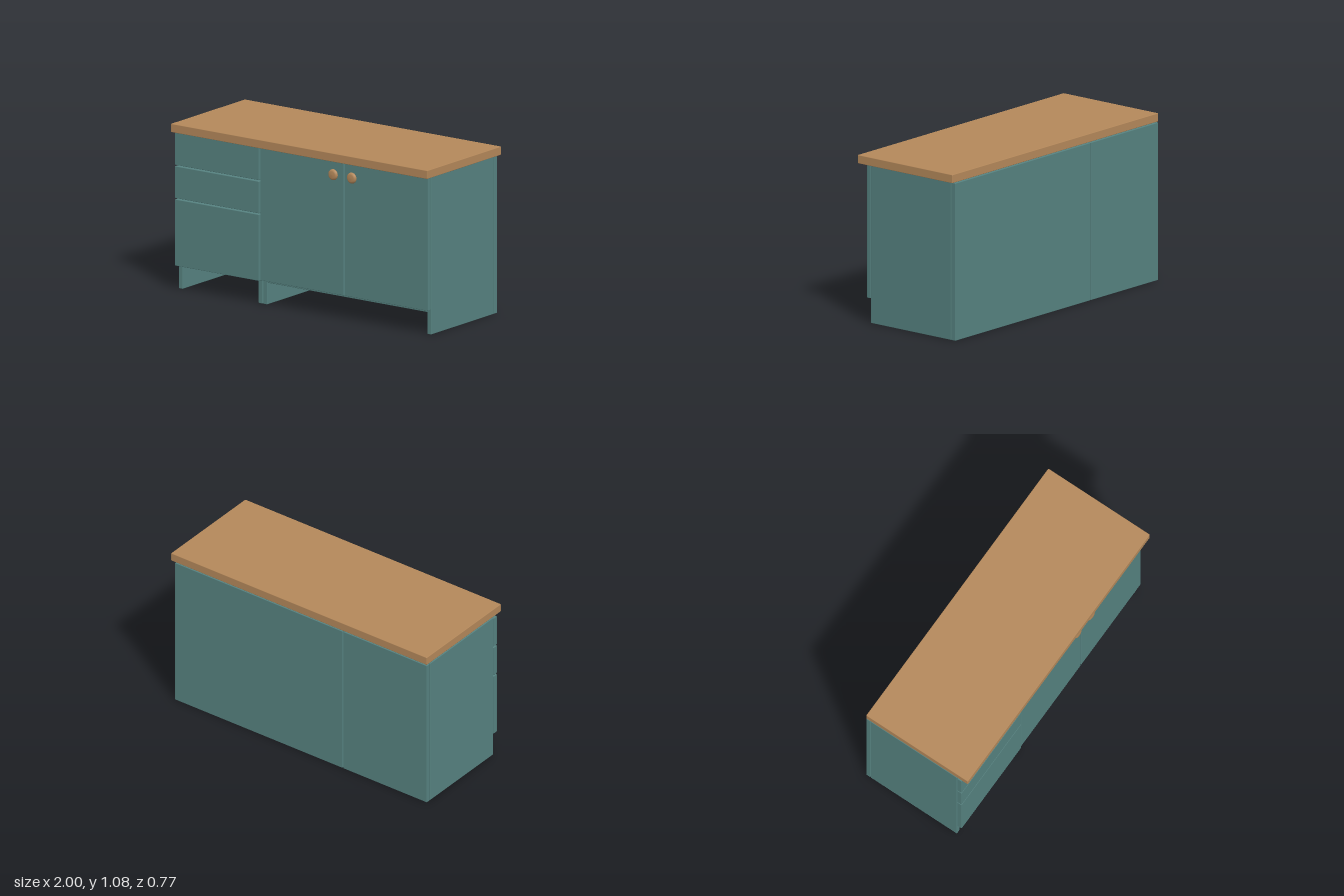
import * as THREE from 'three';
import { RoundedBoxGeometry } from 'three/addons/geometries/RoundedBoxGeometry.js';

export function createModel() {
  const group = new THREE.Group();
  const teal = new THREE.MeshStandardMaterial({ color: 0x568280 });
  teal.name = 'teal paint';
  const wood = new THREE.MeshStandardMaterial({ color: 0xb4885a });
  wood.name = 'wood';

  // Board with slightly eased edges, given by its extents
  function board(name, material, [x0, x1], [y0, y1], [z0, z1]) {
    const geometry = new RoundedBoxGeometry(x1 - x0, y1 - y0, z1 - z0, 1, 0.004);
    const mesh = new THREE.Mesh(geometry, material);
    mesh.name = name;
    mesh.position.set((x0 + x1) / 2, (y0 + y1) / 2, (z0 + z1) / 2);
    group.add(mesh);
  }

  board('countertop', wood, [-0.997, 0.995], [1.02, 1.075], [-0.385, 0.385]);

  // Two carcasses: side panels and full-height backs
  const height = [0, 1.015], depth = [-0.35, 0.303], t = 0.032;
  const carcasses = [['drawerUnit', -0.998, -0.346], ['doorUnit', -0.341, 0.965]];
  for (const [name, x0, x1] of carcasses) {
    board(name + 'RightSide', teal, [x0, x0 + t], height, depth);
    board(name + 'LeftSide', teal, [x1 - t, x1], height, depth);
    board(name + 'Back', teal, [x0, x1], height, [-0.385, -0.352]);
  }
  board('doorUnitFloor', teal, [-0.309, 0.933], [0.14, 0.172], depth);

  // Drawer fronts
  for (const y of [[0.153, 0.58], [0.587, 0.793], [0.8, 1.01]])
    board('drawerFront', teal, [-1, -0.346], y, [0.306, 0.34]);

  // Doors
  for (const x of [[-0.341, 0.309], [0.316, 0.965]])
    board('door', teal, x, [0.158, 1.015], [0.304, 0.335]);

  // Turned knobs with a stem and domed head
  const profile = [[0, 0], [0.012, 0], [0.012, 0.018], [0.033, 0.018], [0.035, 0.021],
    [0.034, 0.028], [0.029, 0.034], [0.021, 0.037], [0, 0.038]]
    .map(([r, h]) => new THREE.Vector2(r, h));
  const knobGeometry = new THREE.LatheGeometry(profile, 32).rotateX(Math.PI / 2);
  for (const x of [0.243, 0.388]) {
    const knob = new THREE.Mesh(knobGeometry, wood);
    knob.name = 'knob';
    knob.position.set(x, 0.93, 0.334);
    group.add(knob);
  }
  return group;
}
